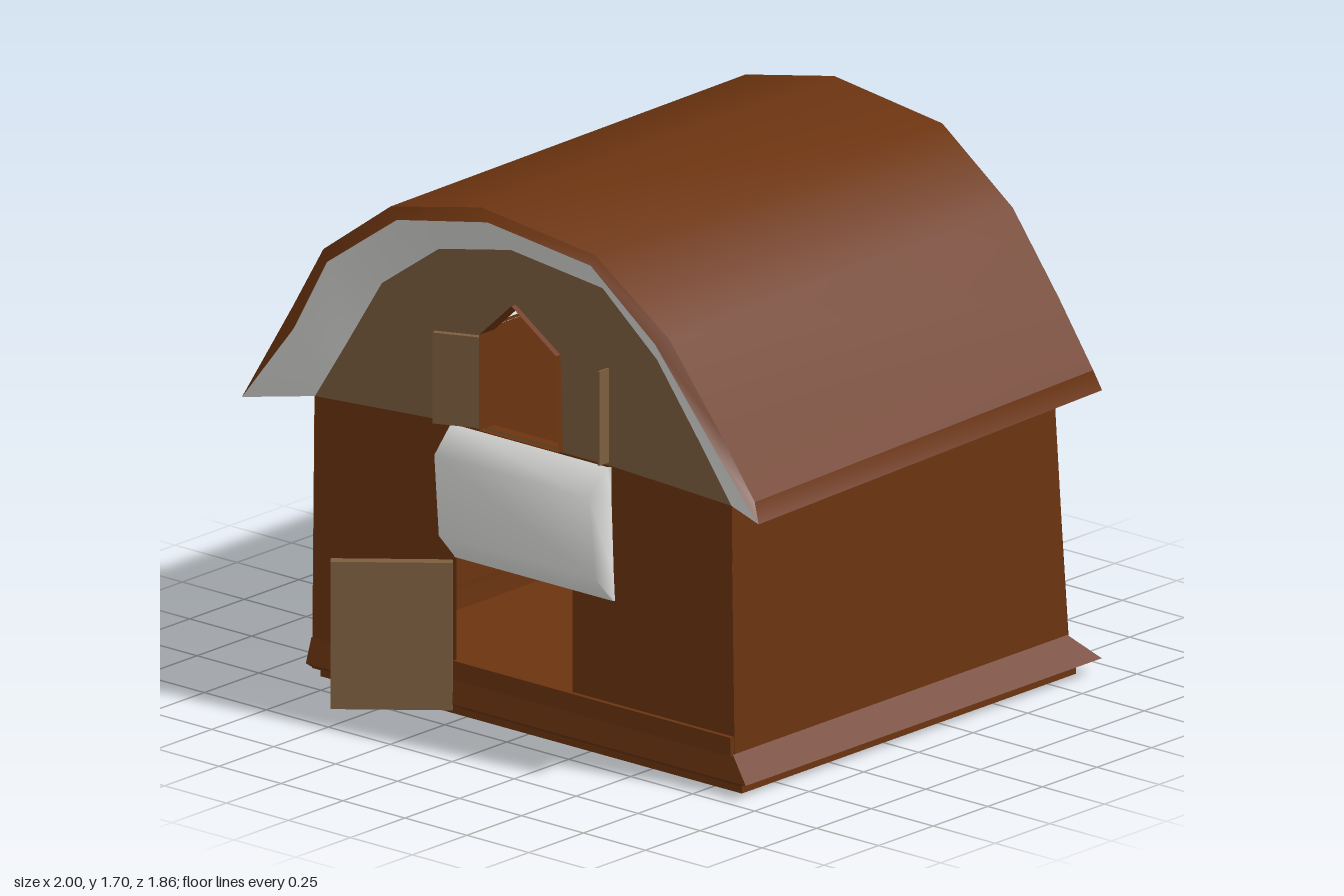
import * as THREE from 'three';

const mat = (name, color) => new THREE.MeshStandardMaterial({ name, color, side: THREE.DoubleSide });

// Smooth surface through a list of equally long rows of points
function loft(rows) {
  const n = rows[0].length, index = [];
  for (let r = 0; r < rows.length - 1; r++) {
    for (let i = 0; i < n - 1; i++) {
      const a = r * n + i, b = a + n;
      index.push(a, a + 1, b, a + 1, b + 1, b);
    }
  }
  const g = new THREE.BufferGeometry();
  g.setAttribute('position', new THREE.Float32BufferAttribute(rows.flat(2), 3));
  g.setIndex(index);
  g.computeVertexNormals();
  return g;
}

const shape = (pts) => new THREE.Shape(pts.map(([x, y]) => new THREE.Vector2(x, y)));
const hole = (pts) => new THREE.Path(pts.map(([x, y]) => new THREE.Vector2(x, y)));

export function createModel() {
  const barn = new THREE.Group();
  barn.name = 'barn';
  const brown = mat('brown wood', 0x6c3410);
  const tan = mat('tan wood', 0x7d5e3f);
  const white = mat('white trim', 0xe4e4e2);
  const red = mat('crimson line', 0x8c0038);

  const add = (name, geometry, material, x = 0, y = 0, z = 0) => {
    const m = new THREE.Mesh(geometry, material);
    m.name = name;
    m.position.set(x, y, z);
    barn.add(m);
    return m;
  };

  // Arch profiles, all with the same number of points
  const roofTop = [[-0.97, 0.98], [-0.83, 1.23], [-0.71, 1.44], [-0.45, 1.63], [-0.1, 1.7],
    [0.34, 1.64], [0.63, 1.43], [0.82, 1.18], [0.96, 0.98]];
  const roofEdge = [[-1, 0.9], [-0.8, 1.16], [-0.67, 1.4], [-0.4, 1.59], [-0.05, 1.655],
    [0.35, 1.6], [0.6, 1.4], [0.84, 1.1], [1, 0.91]];
  const gable = [[-0.84, 0.9], [-0.71, 1.1], [-0.57, 1.32], [-0.34, 1.48], [-0.05, 1.54],
    [0.32, 1.5], [0.54, 1.32], [0.7, 1.11], [0.84, 0.92]];
  const wallFront = 0.675, wallBack = -0.8;
  const front = (x) => 0.78 - 0.048 * x;
  const back = (x) => -0.895 - 0.025 * x;
  const at = (profile, zOf, dy = 0, shrink = 0) => profile.map(([x, y]) =>
    [x > 0 ? x * (1 - shrink) : x, y + dy, zOf(x)]);

  // Roof cover with a thin brown rim at both ends
  const frontTop = at(roofTop, (x) => front(x) - 0.03, -0.015);
  const backTop = at(roofTop, (x) => back(x) + 0.03, 0, 0.04);
  const frontEdge = at(roofEdge, front);
  const backEdge = at(roofEdge, back, 0, 0.07);
  add('roof', loft([backTop, frontTop]), brown);
  add('frontRoofRim', loft([frontTop, frontEdge]), brown);
  add('backRoofRim', loft([backEdge, backTop]), brown);

  // Eaves: brown lip and white underside
  for (const i of [0, roofTop.length - 1]) {
    const side = i ? 'left' : 'right';
    const wx = i ? 0.84 : -0.84;
    add(side + 'EaveLip', loft([[backTop[i], frontTop[i]], [backEdge[i], frontEdge[i]]]), brown);
    add(side + 'EaveSoffit', loft([[backEdge[i], frontEdge[i]],
      [[wx, 0.92, wallBack], [wx, 0.92, wallFront]]]), white);
  }

  // White sloping trim under the roof ends
  add('frontTrim', loft([frontEdge, at(gable, () => wallFront)]), white);
  add('backTrim', loft([backEdge, at(gable, () => wallBack)]), white);

  // Front wall with doorway
  const lower = shape([[-0.85, 0.03], [0.855, 0.03], [0.84, 0.92], [0.36, 0.94], [-0.28, 0.94], [-0.84, 0.9]]);
  lower.holes.push(hole([[-0.27, 0.14], [-0.27, 0.53], [0.2, 0.53], [0.2, 0.14]]));
  add('frontWall', new THREE.ShapeGeometry(lower), brown, 0, 0, wallFront);

  // Tan front gable with pointed window opening
  const windowPts = [[-0.16, 0.945], [0.16, 0.945], [0.15, 1.25], [-0.03, 1.37], [-0.16, 1.25]];
  const upper = shape([...gable, [0.36, 0.94], [-0.28, 0.94]]);
  upper.holes.push(hole(windowPts.map(([x, y]) => [x, Math.max(y, 0.95)])));
  add('frontGable', new THREE.ShapeGeometry(upper), tan, 0, 0, wallFront);

  // Window frame: reveal running inward
  const loop = [...windowPts, windowPts[0]];
  add('windowFrame', loft([wallFront + 0.02, wallFront - 0.05].map((z) =>
    loop.map(([x, y]) => [x, y, z]))).toNonIndexed(), brown).geometry.computeVertexNormals();

  // Shutters swung open
  const shutterL = add('rightShutter', new THREE.BoxGeometry(0.15, 0.29, 0.02), tan, -0.235, 1.095, 0.71);
  shutterL.rotation.y = 0.4;
  add('leftShutter', new THREE.BoxGeometry(0.008, 0.3, 0.05), tan, 0.343, 1.1, 0.695);

  // Back wall, slightly leaning out at the foot
  const backShape = new THREE.ShapeGeometry(shape([[-0.85, 0.03], [0.855, 0.03], ...[...gable].reverse()]));
  const p = backShape.attributes.position;
  for (let i = 0; i < p.count; i++) p.setZ(i, p.getY(i) < 0.5 ? -0.86 : wallBack);
  backShape.computeVertexNormals();
  add('backWall', backShape, brown);

  // Side walls
  for (const s of [-1, 1]) {
    add(s > 0 ? 'leftWall' : 'rightWall', loft([
      [[s * 0.852, 0.03, wallFront], [s * 0.852, 0.03, -0.86]],
      [[s * 0.842, 0.93, wallFront], [s * 0.842, 0.93, wallBack]]]), brown);
  }

  // Flared skirt round the foot of the walls
  const ring = (x0, x1, z0, z1, y) => [[x0, y, z1], [x1, y, z1], [x1, y, z0], [x0, y, z0], [x0, y, z1]];
  const skirt = loft([ring(-0.85, 0.85, -0.85, 0.68, 0.13), ring(-0.855, 0.92, -0.93, 0.7, 0.05),
    ring(-0.85, 0.87, -0.89, 0.67, 0.03)]).toNonIndexed();
  skirt.computeVertexNormals();
  add('skirt', skirt, brown);

  // Sill across the doorway, front step and floor
  add('doorSill', new THREE.BoxGeometry(1.12, 0.06, 0.03), brown, 0.29, 0.155, 0.675);
  add('floor', new THREE.BoxGeometry(1.7, 0.02, 1.52), brown, 0.01, 0.045, -0.1);
  const rim = shape([[-0.84, -0.65], [0.86, -0.65], [0.86, 0.88], [-0.84, 0.88]]);
  rim.holes.push(hole([[-0.79, -0.6], [-0.79, 0.83], [0.81, 0.83], [0.81, -0.6]]));
  const rimGeo = new THREE.ExtrudeGeometry(rim, { depth: 0.045, bevelEnabled: false });
  rimGeo.rotateX(-Math.PI / 2);
  add('foundationRim', rimGeo, brown);

  // Puffed white panel over the doorway
  const panelRow = (y, z, x0, x1) => [[x0, y, 0.68], [x0 + 0.01, y, z], [x1 - 0.01, y, z], [x1, y, 0.68]];
  add('whitePanel', loft([panelRow(0.515, 0.685, -0.275, 0.375), panelRow(0.6, 0.755, -0.28, 0.37),
    panelRow(0.86, 0.77, -0.285, 0.36), panelRow(0.94, 0.69, -0.285, 0.36)]), white);

  // Open door swung out from its hinge
  const hinge = new THREE.Group();
  hinge.name = 'doorHinge';
  hinge.position.set(-0.275, 0, 0.685);
  hinge.rotation.y = Math.atan2(0.235, 0.285);
  const door = new THREE.Mesh(new THREE.BoxGeometry(0.37, 0.47, 0.035), tan);
  door.name = 'door';
  door.position.set(-0.185, 0.265, 0);
  hinge.add(door);
  barn.add(hinge);

  // Thin crimson lines
  add('floorLine', new THREE.BoxGeometry(0.014, 0.004, 1.45), red, -0.37, 0.033, -0.1);
  add('backLine', new THREE.BoxGeometry(0.02, 0.04, 0.006), red, -0.36, 0.05, -0.928);
  add('panelLine', new THREE.BoxGeometry(0.02, 0.08, 0.006), red, -0.298, 0.76, 0.68);
  return barn;
}
